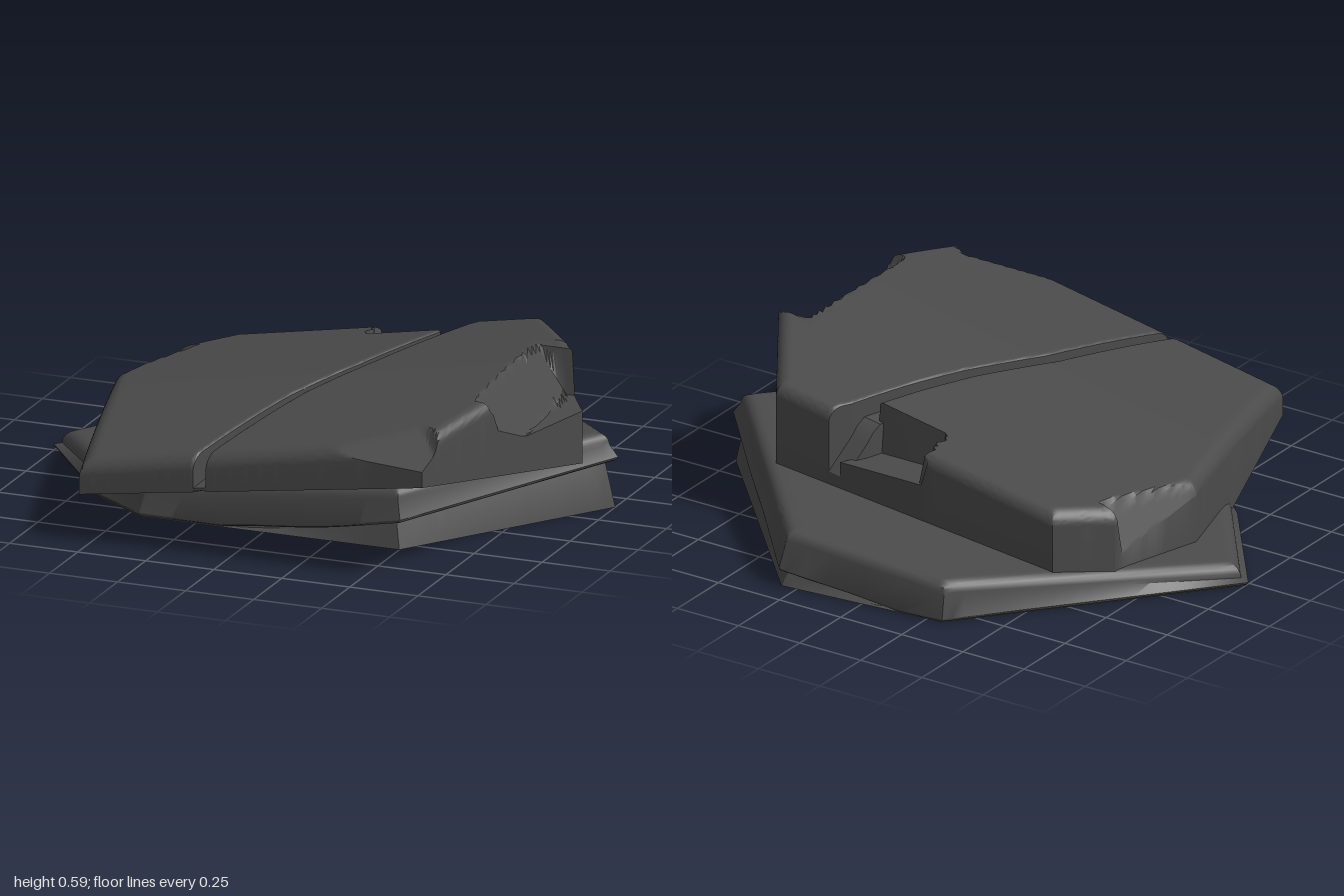
import * as THREE from 'three';
import { toCreasedNormals } from 'three/addons/utils/BufferGeometryUtils.js';

// x on a polyline given as [z, x] pairs with falling z
function along(line, z) {
  for (let i = 1; i < line.length; i++) {
    const [z0, x0] = line[i - 1], [z1, x1] = line[i];
    if (z >= z1 || i === line.length - 1) {
      const t = Math.min(1, Math.max(0, (z0 - z) / (z0 - z1)));
      return x0 + (x1 - x0) * t;
    }
  }
}

// Height rule of the plane through three points
function planeThrough(a, b, c) {
  const p = new THREE.Plane().setFromCoplanarPoints(
    new THREE.Vector3(...a), new THREE.Vector3(...b), new THREE.Vector3(...c));
  return (x, z) => -(p.constant + p.normal.x * x + p.normal.z * z) / p.normal.y;
}

// Distance from the nearest side of a convex outline
function insideDistance(outline, x, z) {
  let best = Infinity;
  outline.forEach(([ax, az], i) => {
    const [bx, bz] = outline[(i + 1) % outline.length];
    const d = Math.abs((bx - ax) * (z - az) - (bz - az) * (x - ax)) / Math.hypot(bx - ax, bz - az);
    best = Math.min(best, d);
  });
  return best;
}

// Drop of a rounded edge of radius r at distance d from the edge
function edgeDrop(d, r) {
  return d >= r ? 0 : r - Math.sqrt(r * r - (r - d) ** 2);
}

// Closed stone lofted from cross-sections running front to back
function loft({ left, right, top, bottom, n, rows, extra = [], taper = 0 }) {
  const zA = left[0][0], zB = left[left.length - 1][0];
  const ease = u => (1 - Math.cos(Math.PI * u)) / 2;
  const zs = [...left, ...right].map(p => p[0]).concat(extra);
  for (let i = 0; i <= rows; i++) zs.push(zA + (zB - zA) * ease(i / rows));
  const sorted = [...new Set(zs.map(z => +z.toFixed(4)))].sort((a, b) => b - a);
  const pos = [], index = [], m = 2 * n, k = 1 - taper;
  sorted.forEach(z => {
    const l = along(left, z), r = along(right, z), under = [];
    for (let j = 0; j < n; j++) {
      const x = l + (r - l) * ease(j / (n - 1));
      const low = bottom(x, z);
      pos.push(x * k, Math.max(low + 0.002, top(x, z)), z * k);
      under.unshift([x, low, z]);
    }
    under.forEach(p => pos.push(...p));
  });
  const last = (sorted.length - 1) * m;
  for (let i = 0; i < sorted.length - 1; i++) {
    for (let j = 0; j < m; j++) {
      const a = i * m + j, b = i * m + (j + 1) % m;
      index.push(a, b, a + m, b, b + m, a + m);
    }
  }
  for (let j = 0; j < n - 1; j++) {
    const lo = m - 1 - j;
    index.push(lo, lo - 1, j + 1, lo, j + 1, j);
    index.push(last + lo, last + j + 1, last + lo - 1, last + lo, last + j, last + j + 1);
  }
  const geo = new THREE.BufferGeometry();
  geo.setAttribute('position', new THREE.Float32BufferAttribute(pos, 3));
  geo.setIndex(index);
  return toCreasedNormals(geo, 0.5);
}

export function createModel() {
  const group = new THREE.Group();
  const stone = new THREE.MeshStandardMaterial({ color: 0x4a4a4a });
  stone.name = 'dark stone';
  const add = (name, options) => {
    const mesh = new THREE.Mesh(loft(options), stone);
    mesh.name = name;
    group.add(mesh);
    return mesh;
  };

  // Lower rock: two tilted layers on one outline
  const baseOutline = [[-0.45, 0.56], [-0.66, 0.42], [-1, -0.02], [-0.31, -0.84],
    [0.31, -0.9], [1, -0.15], [0.5, 0.56]];
  const baseLeft = [[0.56, -0.45], [0.42, -0.66], [-0.02, -1], [-0.84, -0.31], [-0.9, 0.3]];
  const baseRight = [[0.56, 0.5], [-0.15, 1], [-0.9, 0.31]];
  const seam = (x, z) => Math.max(0.004, 0.02 + 0.145 * x + 0.006 * Math.sin(9 * x + 5 * z));
  const baseDistance = (x, z) => insideDistance(baseOutline, x, z);
  add('lowerLayer', {
    left: baseLeft, right: baseRight, n: 32, rows: 36, taper: 0.035,
    top: (x, z) => seam(x, z) - edgeDrop(baseDistance(x, z), 0.012),
    bottom: () => 0,
  });
  add('upperLayer', {
    left: baseLeft, right: baseRight, n: 40, rows: 44, taper: 0.03,
    top: (x, z) => 0.168 + 0.1 * x - edgeDrop(baseDistance(x, z), 0.045),
    bottom: (x, z) => seam(x, z) - 0.002 + edgeDrop(baseDistance(x, z), 0.012),
  }).scale.set(1.01, 1, 1.01);

  // Cap rock: domed top, sloping underside
  const capOutline = [[-0.54, 0.89], [-0.77, 0.02], [-0.68, -0.34], [-0.53, -0.5],
    [0.6, -0.5], [0.97, 0.07], [0.72, 0.89]];
  const capLeft = [[0.89, -0.54], [0.02, -0.77], [-0.34, -0.68], [-0.5, -0.53]];
  const capRight = [[0.89, 0.72], [0.07, 0.97], [-0.5, 0.6]];
  const crack = [[0.89, -0.1], [0.5, 0], [0.35, 0.04], [0.2, 0.1], [0.03, 0.17],
    [-0.2, 0.25], [-0.42, 0.32], [-0.5, 0.36]];
  const shifted = dx => crack.map(([z, x]) => [z, x + dx]);
  const dome = (x, z) => 0.445 + 0.178 * x - 0.085 * z * z;
  const capTop = (x, z) => dome(x, z) - edgeDrop(insideDistance(capOutline, x, z), 0.05)
    - edgeDrop(Math.abs(x - along(crack, z)) - 0.02, 0.015);
  const capBottom = (x, z) => Math.max(0.03, 0.247 + 0.143 * x + 0.2 * (z - 0.9));

  // Left half, with a broken side and a chipped back corner beside the crack
  const backChip = planeThrough([0.12, -0.5, 0.43], [0.32, -0.41, 0.49], [0.3, -0.5, 0.34]);
  const sideBreak = (x, z) => {
    const inner = -0.75 - 0.42 * z;
    const wall = dome(x, z) - 0.02 + (x - inner) * 2.2;
    return Math.max(wall, dome(x, z) + (-0.33 - z) * 8, 0.13);
  };
  add('leftCap', {
    left: capLeft, right: shifted(-0.022), n: 60, rows: 70, extra: [-0.31, -0.33, -0.36],
    top: (x, z) => {
      let y = Math.min(capTop(x, z), sideBreak(x, z));
      if (x > 0) y = Math.min(y, Math.max(0.3, z < -0.35 ? backChip(x, z) : 1));
      return y;
    },
    bottom: capBottom,
  });

  // Right half, with a V-shaped front chip and a step cut into the side
  const chipWall = planeThrough([-0.1, 0.85, 0.355], [0.42, 0.73, 0.47], [0.25, 0.88, 0.28]);
  const chipFloor = planeThrough([0.42, 0.73, 0.47], [0.56, 0.9, 0.47], [0.25, 0.88, 0.28]);
  const sideStep = (x, z) => Math.max(
    0.56 - (x - 0.76) * 1.4, 0.41 - 0.05 * z, 0.41 + (z - 0.49) * 3, 0.42 + (-0.05 - z) * 5);
  add('rightCap', {
    left: shifted(0.024), right: capRight, n: 60, rows: 70, extra: [0.54, 0.49, -0.05, -0.08],
    top: (x, z) => {
      let y = Math.min(capTop(x, z), sideStep(x, z));
      if (z > 0.6) y = Math.min(y, Math.max(chipWall(x, z), chipFloor(x, z)));
      return y;
    },
    bottom: capBottom,
  });

  // Floor of the crack between the halves, falling away at the back
  add('crackFloor', {
    left: shifted(-0.04), right: shifted(0.04), n: 6, rows: 40,
    top: (x, z) => dome(x, z) - 0.07 - 0.05 * Math.max(0, z) - 1.4 * Math.max(0, -0.38 - z),
    bottom: (x, z) => capBottom(x, z) + 0.005,
  });

  return group;
}
